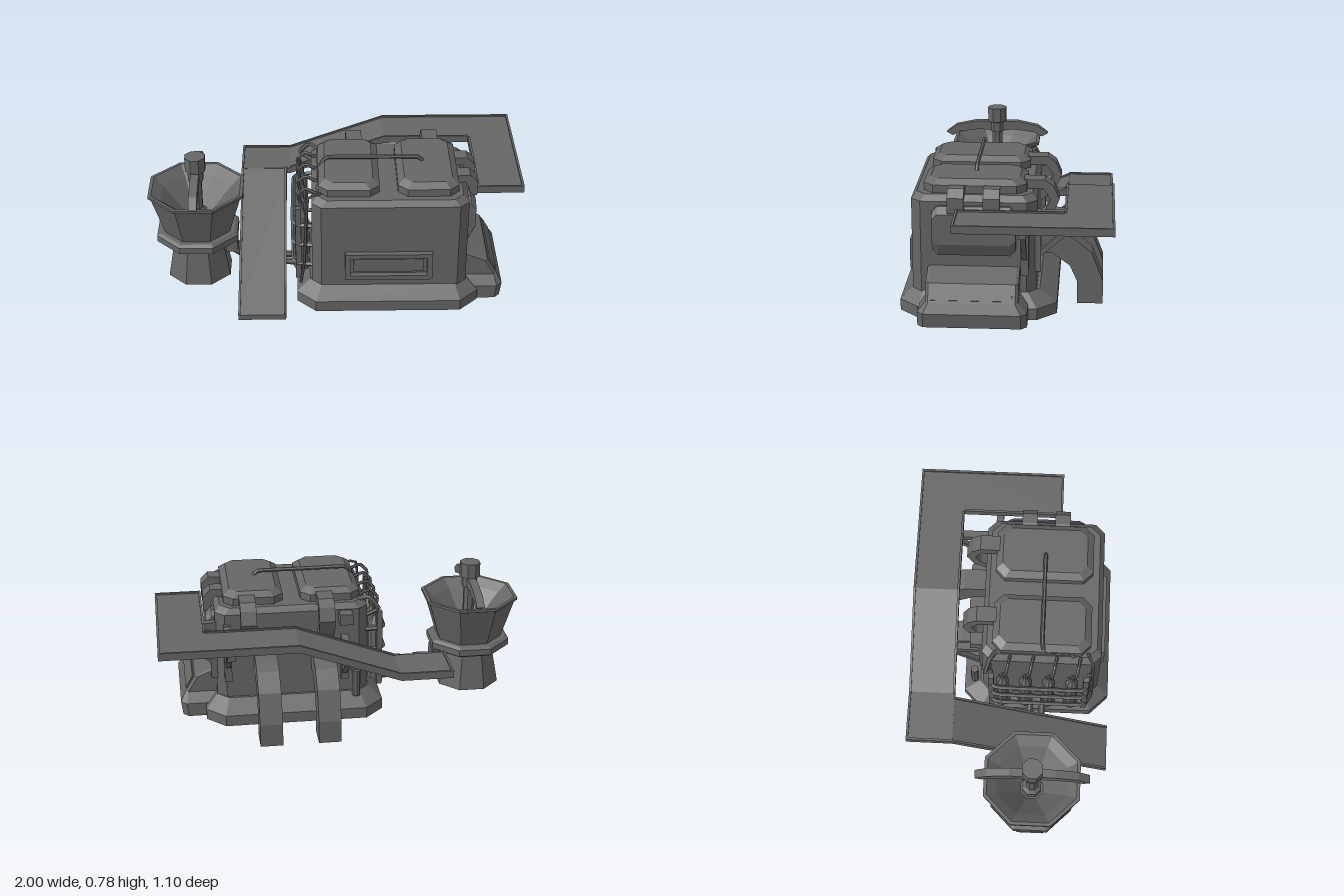
import * as THREE from 'three';

export function createModel() {
  const model = new THREE.Group();
  const gray = new THREE.MeshStandardMaterial({ color: 0x666666 });
  gray.name = 'machine gray';

  const add = (name, geo, x = 0, y = 0, z = 0, parent = model) => {
    const g = geo.index ? geo.toNonIndexed() : geo;
    g.computeVertexNormals();
    const m = new THREE.Mesh(g, gray);
    m.name = name;
    m.position.set(x, y, z);
    parent.add(m);
    return m;
  };
  // Box given by its limits
  const box = (name, x0, x1, y0, y1, z0, z1) =>
    add(name, new THREE.BoxGeometry(x1 - x0, y1 - y0, z1 - z0), (x0 + x1) / 2, (y0 + y1) / 2, (z0 + z1) / 2);
  // Stacked rectangles with cut corners: [y, x0, x1, z0, z1, cut]
  const loft = (sections) => {
    const rings = sections.map(([y, a, b, c, d, k]) => [
      [a + k, y, d], [b - k, y, d], [b, y, d - k], [b, y, c + k],
      [b - k, y, c], [a + k, y, c], [a, y, c + k], [a, y, d - k]]);
    const p = [];
    const tri = (...v) => v.forEach((q) => p.push(...q));
    for (let i = 0; i + 1 < rings.length; i++) {
      for (let j = 0; j < 8; j++) {
        const n = (j + 1) % 8, A = rings[i], B = rings[i + 1];
        tri(A[j], A[n], B[n]);
        tri(A[j], B[n], B[j]);
      }
    }
    const lo = rings[0], hi = rings[rings.length - 1];
    for (let j = 1; j < 7; j++) {
      tri(lo[0], lo[j + 1], lo[j]);
      tri(hi[0], hi[j], hi[j + 1]);
    }
    const g = new THREE.BufferGeometry();
    g.setAttribute('position', new THREE.Float32BufferAttribute(p, 3));
    return g;
  };
  const extrude = (pts, depth) => new THREE.ExtrudeGeometry(
    new THREE.Shape(pts.map((q) => new THREE.Vector2(...q))), { depth, bevelEnabled: false });
  // Profile in (x, y) spanning z0..z1, and profile in (z, y) spanning x0..x1
  const alongZ = (name, pts, z0, z1) => add(name, extrude(pts, z1 - z0), 0, 0, z0);
  const alongX = (name, pts, x0, x1) => add(name, extrude(pts, x1 - x0).rotateY(-Math.PI / 2), x1);
  const tube = (name, pts, r, sides = 6, seg = 16) => add(name, new THREE.TubeGeometry(
    new THREE.CatmullRomCurve3(pts.map((q) => new THREE.Vector3(...q)), false, 'catmullrom', 0.2), seg, r, sides));
  // Square bar between two points
  const bar = (name, a, b, w) => {
    const A = new THREE.Vector3(...a), B = new THREE.Vector3(...b);
    const m = add(name, new THREE.BoxGeometry(w, w, A.distanceTo(B)));
    m.position.copy(A).add(B).multiplyScalar(0.5);
    m.lookAt(B);
  };

  // Main body and plinth
  add('plinth', loft([
    [0.05, -0.21, 0.755, -0.27, 0.54, 0.1],
    [0.11, -0.21, 0.755, -0.27, 0.54, 0.1],
    [0.175, -0.14, 0.69, -0.18, 0.475, 0.06]]));
  add('body', loft([
    [0.17, -0.13, 0.69, -0.165, 0.475, 0.05],
    [0.655, -0.13, 0.69, -0.165, 0.475, 0.05],
    [0.685, -0.1, 0.66, -0.14, 0.45, 0.05]]));

  // Two roof hatches with straps over the back, and ducts below them
  for (const [x0, strap, duct] of [[-0.095, 0.06, 0.06], [0.32, 0.475, 0.37]]) {
    add('roofHatch', loft([
      [0.68, x0, x0 + 0.32, -0.11, 0.415, 0.05],
      [0.725, x0, x0 + 0.32, -0.11, 0.415, 0.05],
      [0.752, x0 + 0.035, x0 + 0.285, -0.075, 0.38, 0.04]]));
    alongX('backPipe', [[-0.06, 0.69], [-0.06, 0.737], [-0.2, 0.737], [-0.245, 0.705], [-0.275, 0.635],
      [-0.24, 0.55], [-0.15, 0.48], [-0.15, 0.54], [-0.2, 0.57], [-0.23, 0.635], [-0.19, 0.69]], strap, strap + 0.085);
    alongX('backDuct', [[-0.16, 0.43], [-0.29, 0.425], [-0.35, 0.4], [-0.445, 0.32], [-0.505, 0.165],
      [-0.505, 0.04], [-0.37, 0.04], [-0.37, 0.16], [-0.33, 0.25], [-0.235, 0.32], [-0.16, 0.32]], duct, duct + 0.12);
  }
  tube('roofRail', [[-0.1, 0.68, 0.33], [-0.085, 0.71, 0.3], [-0.085, 0.72, 0.17], [-0.045, 0.773, 0.155],
    [0.2, 0.773, 0.155], [0.43, 0.773, 0.155], [0.46, 0.745, 0.155]], 0.011, 6, 40);

  // Side hatch with its two straps
  add('sideHatch', loft([
    [0.67, -0.635, -0.375, -0.06, 0.365, 0.03],
    [0.705, -0.635, -0.375, -0.06, 0.365, 0.03],
    [0.735, -0.6, -0.44, -0.06, 0.365, 0.03]])).rotation.z = -Math.PI / 2;
  for (const z of [0.02, 0.2]) {
    alongZ('sideStrap', [[0.62, 0.68], [0.62, 0.72], [0.65, 0.73], [0.705, 0.73], [0.745, 0.69],
      [0.745, 0.61], [0.7, 0.61], [0.7, 0.66], [0.68, 0.69]], z, z + 0.083);
  }

  // Low side housing with a framed sloping face
  add('sideHousing', loft([
    [0.05, 0.6, 0.88, -0.125, 0.43, 0.03],
    [0.125, 0.6, 0.89, -0.125, 0.43, 0.03],
    [0.175, 0.6, 0.862, -0.08, 0.39, 0.015],
    [0.262, 0.6, 0.81, -0.08, 0.39, 0.015],
    [0.315, 0.6, 0.685, -0.08, 0.39, 0.015]]));
  const panel = add('housingPanel', new THREE.BoxGeometry(0.008, 0.075, 0.41), 0.838, 0.22, 0.157);
  panel.rotation.z = 0.54;

  // Framed front panel
  const frame = new THREE.Shape([[0.045, 0.225], [0.505, 0.225], [0.505, 0.382], [0.045, 0.382]]
    .map((q) => new THREE.Vector2(...q)));
  frame.holes.push(new THREE.Path([[0.073, 0.25], [0.073, 0.357], [0.477, 0.357], [0.477, 0.25]]
    .map((q) => new THREE.Vector2(...q))));
  add('frontPanelFrame', new THREE.ExtrudeGeometry(frame, { depth: 0.035, bevelEnabled: false }), 0, 0, 0.47);
  box('frontPanelInset', 0.09, 0.46, 0.265, 0.342, 0.47, 0.487);

  // Raised walkway: flat side arm, sloping back run, landing and ramp
  const band = (pts, lift, thick) => [
    ...pts.map(([u, y]) => [u, y + lift]), ...pts.slice().reverse().map(([u, y]) => [u, y + lift - thick])];
  const back = [[-0.525, 0.435], [-0.25, 0.435], [0.28, 0.627], [1, 0.627]];
  const ramp = [[-0.31, 0.435], [0.545, 0.03]];
  const rim = 0.012;
  alongZ('backWalkway', band(back, 0, 0.032), -0.555, -0.305);
  alongZ('backRim', band(back, 0.009, 0.041), -0.555, -0.555 + rim);
  alongZ('innerRim', band(back.slice(1, 3).concat([[0.75, 0.627]]), 0.009, 0.041), -0.305 - rim, -0.305);
  alongX('ramp', band(ramp, 0, 0.03), -0.525, -0.27);
  for (const x of [-0.525, -0.27 - rim]) alongX('rampRim', band(ramp, 0.009, 0.039), x, x + rim);
  box('landingRim', -0.525, -0.525 + rim, 0.403, 0.444, -0.555, -0.305);
  box('sideWalkway', 0.75, 1, 0.595, 0.627, -0.305, 0.24);
  box('sideOuterRim', 1 - rim, 1, 0.595, 0.636, -0.555, 0.24);
  box('sideInnerRim', 0.75, 0.75 + rim, 0.595, 0.636, -0.305, 0.24);
  box('sideEndRim', 0.75, 1, 0.595, 0.636, 0.24 - rim, 0.24);

  // Posts, beams and braces under the walkway
  box('sidePost', 0.685, 0.72, 0.275, 0.6, -0.125, -0.085);
  box('backPost', 0.61, 0.65, 0.275, 0.6, -0.185, -0.15);
  box('sideBeam', 0.69, 0.97, 0.56, 0.597, -0.125, -0.085);
  box('backBeam', 0.61, 0.65, 0.56, 0.597, -0.54, -0.16);
  bar('sideBrace', [0.7, 0.36, -0.105], [0.92, 0.57, -0.105], 0.026);
  bar('backBrace', [0.63, 0.36, -0.17], [0.63, 0.575, -0.41], 0.026);
  box('lowBeam', -0.02, 0.02, 0.475, 0.51, -0.54, -0.16);
  box('lowPost', -0.02, 0.02, 0.25, 0.51, -0.185, -0.15);
  bar('lowBrace', [0, 0.29, -0.17], [0, 0.49, -0.39], 0.026);
  box('backValve', -0.04, 0.03, 0.59, 0.65, -0.23, -0.15);
  add('backTank', new THREE.CylinderGeometry(0.022, 0.022, 0.15, 8), -0.06, 0.24, -0.212);

  // Gas bottles in a rack with hoses on the right side
  for (let i = 0; i < 4; i++) {
    const z = -0.05 + i * 0.125;
    add('bottle', new THREE.LatheGeometry([[0, 0.2], [0.034, 0.2], [0.034, 0.52], [0.014, 0.56], [0.014, 0.6], [0, 0.6]]
      .map((q) => new THREE.Vector2(...q)), 8), -0.185, 0, z);
    add('bottleBase', new THREE.CylinderGeometry(0.042, 0.042, 0.05, 8), -0.185, 0.22, z);
    tube('hose', [[-0.185, 0.59, z], [-0.2, 0.66, z + 0.02], [-0.16, 0.7, z + 0.03], [-0.09, 0.67, z + 0.04]], 0.009);
  }
  for (const y of [0.27, 0.39, 0.51]) {
    tube('rackRail', [[-0.12, y, -0.12], [-0.21, y, -0.11], [-0.228, y, -0.06], [-0.228, y, 0.36],
      [-0.21, y, 0.405], [-0.12, y, 0.42]], 0.012, 4, 24);
  }
  for (const z of [-0.11, 0.4]) box('rackPost', -0.215, -0.185, 0.18, 0.61, z - 0.015, z + 0.015);
  tube('cornerHose', [[-0.13, 0.6, -0.12], [-0.19, 0.64, -0.14], [-0.14, 0.7, -0.12], [-0.07, 0.67, -0.08]], 0.012);
  tube('frontHose', [[-0.19, 0.15, 0.41], [-0.17, 0.3, 0.44], [-0.15, 0.68, 0.43], [-0.08, 0.7, 0.4]], 0.008);

  // Octagonal mixer: hollow cup, collar and flared foot
  const mixer = new THREE.Group();
  mixer.name = 'mixer';
  mixer.position.set(-0.747, 0, 0.133);
  model.add(mixer);
  const octagon = (name, pts) => add(name, new THREE.LatheGeometry(
    pts.map(([r, y]) => new THREE.Vector2(r / Math.cos(Math.PI / 8), y)), 8, Math.PI / 8), 0, 0, 0, mixer);
  octagon('mixerCup', [[0, 0.06], [0.168, 0.06], [0.13, 0.275], [0.175, 0.345], [0.238, 0.565], [0.252, 0.572],
    [0.252, 0.587], [0.235, 0.587], [0.185, 0.545], [0.06, 0.4], [0, 0.4]]);
  octagon('mixerCollar', [[0.13, 0.28], [0.2, 0.283], [0.217, 0.295], [0.217, 0.33], [0.2, 0.343], [0.16, 0.345]]);
  octagon('mixerShaft', [[0.05, 0.39], [0.05, 0.44], [0.03, 0.46], [0.03, 0.69]]);
  octagon('mixerHead', [[0, 0.63], [0.04, 0.63], [0.04, 0.685], [0.053, 0.69], [0.053, 0.772], [0, 0.772]]);
  // Mixer arm arching over both rims
  const half = [[0, 0.69], [0.12, 0.69], [0.24, 0.665], [0.3, 0.62], [0.265, 0.6], [0.22, 0.625], [0.11, 0.64], [0, 0.635]];
  for (const s of [1, -1]) {
    const pts = half.map(([u, y]) => [u * s, y]);
    add('mixerArm', extrude(pts, 0.044).rotateY(-Math.PI / 2), 0.022, 0, 0, mixer);
  }

  // Feed pipes from the body to the mixer
  for (const z of [0.1, 0.17]) {
    tube('feedPipe', [[-0.14, 0.13, z], [-0.25, 0.12, z], [-0.5, 0.17, z], [-0.62, 0.26, z]], 0.018);
  }
  box('feedBlock', -0.6, -0.535, 0.2, 0.27, 0.08, 0.19);

  return model;
}
